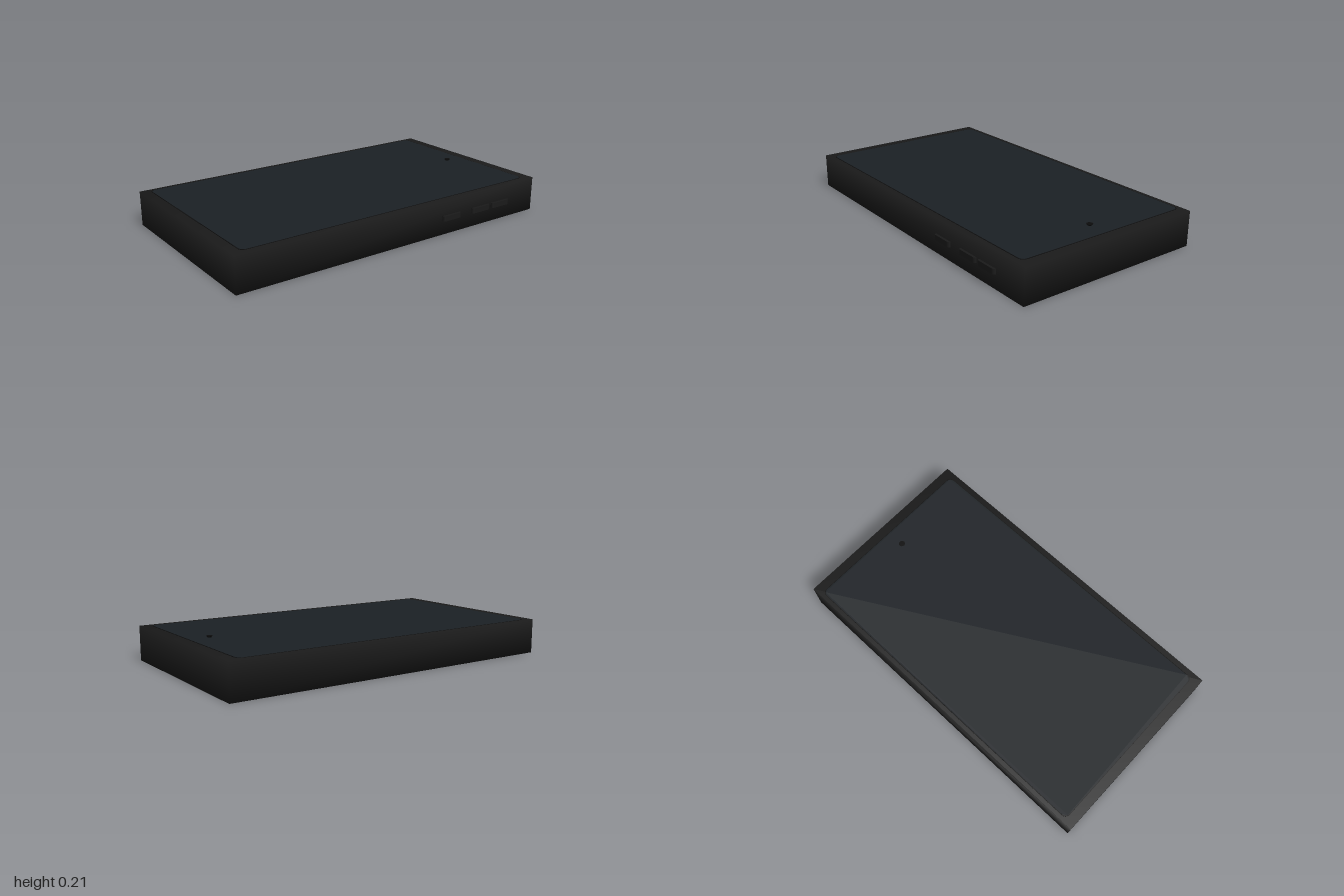
import * as THREE from 'three';
import { mergeVertices } from 'three/addons/utils/BufferGeometryUtils.js';

const material = (color) => new THREE.MeshStandardMaterial({ color });

// Shares vertices so that shading flows across the edges
function smooth(geometry) {
  geometry.deleteAttribute('normal');
  geometry.deleteAttribute('uv');
  const merged = mergeVertices(geometry, 1e-4);
  merged.computeVertexNormals();
  return merged;
}

// Rounded rectangle centred on the origin
function roundedRect(w, h, r) {
  const x = w / 2, y = h / 2;
  const s = new THREE.Shape();
  s.absarc(x - r, y - r, r, 0, Math.PI / 2);
  s.absarc(-x + r, y - r, r, Math.PI / 2, Math.PI);
  s.absarc(-x + r, -y + r, r, Math.PI, Math.PI * 1.5);
  s.absarc(x - r, -y + r, r, Math.PI * 1.5, Math.PI * 2);
  return s;
}

export function createModel() {
  const group = new THREE.Group();
  const add = (name, geometry, mat, x, y, z) => {
    const mesh = new THREE.Mesh(geometry, mat);
    mesh.name = name;
    mesh.position.set(x, y, z);
    group.add(mesh);
    return mesh;
  };
  const bodyMat = material(0x1a1a1a);
  const trimMat = material(0x0c0c0c);

  // Slab body with soft shading
  add('body', smooth(new THREE.BoxGeometry(2, 0.2, 1.112)), bodyMat, 0, 0.1, -0.007);

  // Thin dark seam around the screen, and the glass itself
  const panel = (name, w, d, height, mat) => {
    const geometry = new THREE.ExtrudeGeometry(roundedRect(w, d, 0.03),
      { depth: height, bevelEnabled: false, curveSegments: 6 });
    geometry.rotateX(-Math.PI / 2);
    add(name, geometry, mat, -0.002, 0.2, -0.012);
  };
  panel('screenSeam', 1.892, 1.058, 0.001, trimMat);
  panel('screen', 1.884, 1.05, 0.002, material(0x1b2024));

  // Three side buttons with rounded ends
  for (const [name, x, width] of [
    ['powerButton', 0.348, 0.13],
    ['volumeDownButton', 0.57, 0.134],
    ['volumeUpButton', 0.725, 0.134],
  ]) {
    const geometry = new THREE.ExtrudeGeometry(roundedRect(width, 0.03, 0.0139),
      { depth: 0.03, bevelEnabled: false, curveSegments: 4 });
    geometry.rotateX(-Math.PI / 2);
    add(name, geometry, bodyMat, x, 0.08, 0.548);
  }

  // Small flared camera lens in the screen
  add('cameraLens', new THREE.CylinderGeometry(0.018, 0.007, 0.012, 16), trimMat, 0.83, 0.205, -0.007);
  return group;
}
